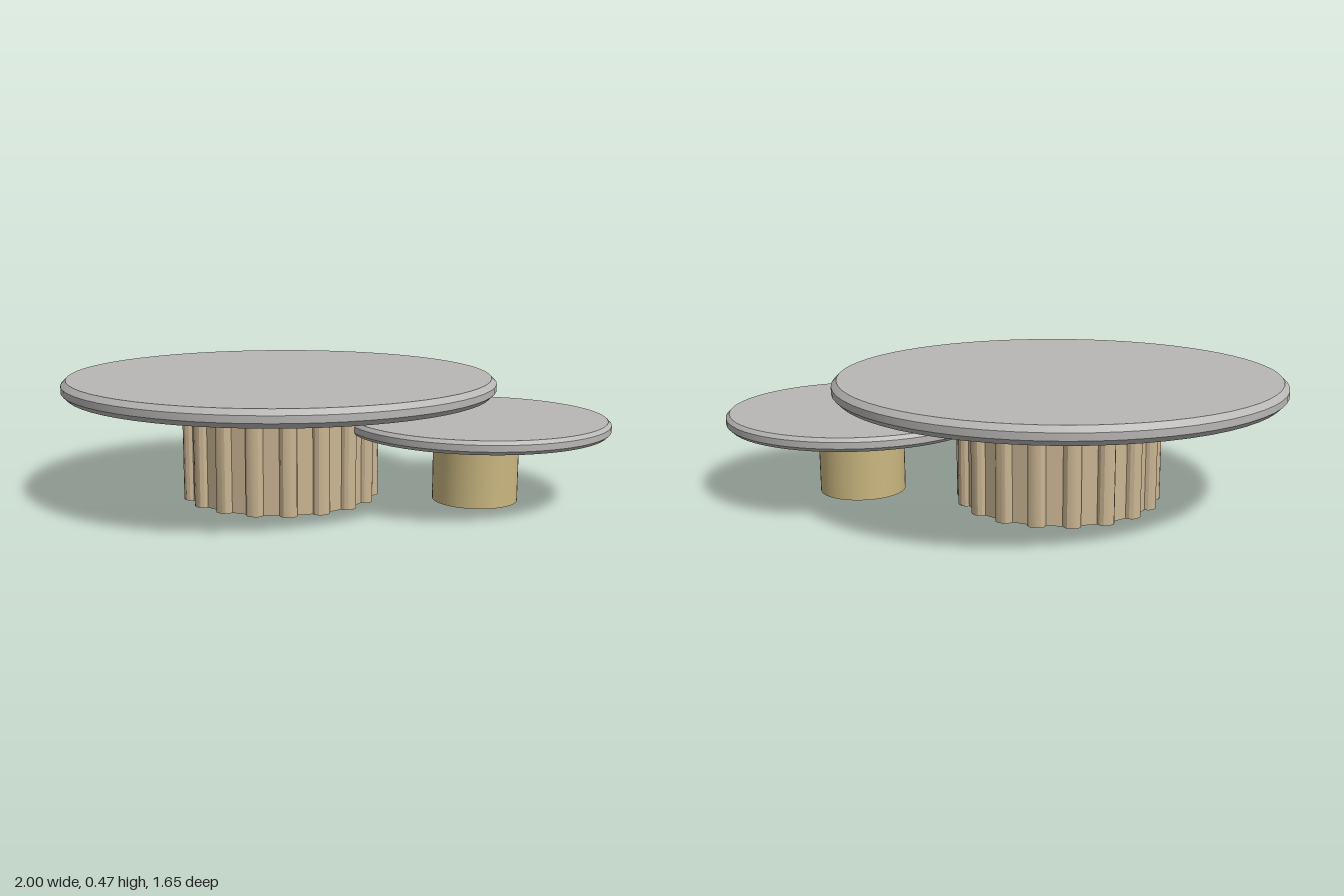
import * as THREE from 'three';
import { toCreasedNormals } from 'three/addons/utils/BufferGeometryUtils.js';

const greyTop = new THREE.MeshStandardMaterial({ name: 'grey top', color: 0xb8b7b5 });
const flutedWood = new THREE.MeshStandardMaterial({ name: 'fluted wood', color: 0xcbb693 });
const paleWood = new THREE.MeshStandardMaterial({ name: 'pale wood', color: 0xcab780 });

function part(name, geometry, material) {
  const mesh = new THREE.Mesh(toCreasedNormals(geometry, 0.5), material);
  mesh.name = name;
  return mesh;
}

// Round slab with chamfered upper and lower rims
function slab(name, radius, bottom, top, bevel) {
  const profile = [
    [0, bottom], [radius - bevel, bottom], [radius, bottom + bevel],
    [radius, top - bevel], [radius - bevel, top], [0, top],
  ].map(([x, y]) => new THREE.Vector2(x, y));
  return part(name, new THREE.LatheGeometry(profile, 64), greyTop);
}

// Column with rounded ribs; one rib faces straight forward
function flutedColumn(name, ribs, height) {
  const rib = [
    [-0.092, 0.352], [-0.082, 0.366], [-0.055, 0.377], [-0.02, 0.381],
    [0.02, 0.381], [0.055, 0.377], [0.082, 0.366], [0.092, 0.352],
  ];
  const outline = [];
  for (let i = 0; i < ribs; i++) {
    const centre = Math.PI / 2 + (i * 2 * Math.PI) / ribs;
    for (const [offset, r] of rib) {
      const a = centre + offset;
      outline.push(new THREE.Vector2(Math.cos(a) * r, Math.sin(a) * r));
    }
  }
  const geometry = new THREE.ExtrudeGeometry(new THREE.Shape(outline), { depth: height, bevelEnabled: false });
  geometry.rotateX(-Math.PI / 2);
  return part(name, geometry, flutedWood);
}

export function createModel() {
  const model = new THREE.Group();
  model.name = 'nestingTables';

  // Large table on a fluted base
  const large = new THREE.Group();
  large.name = 'largeTable';
  large.position.set(-0.174, 0, 0);
  large.add(slab('largeTop', 0.826, 0.407, 0.47, 0.019), flutedColumn('flutedBase', 18, 0.408));

  // Small table on a plain base, tucked under the back left
  const small = new THREE.Group();
  small.name = 'smallTable';
  small.position.set(0.504, 0, -0.332);
  const base = part('roundBase', new THREE.CylinderGeometry(0.162, 0.162, 0.274, 48), paleWood);
  base.position.y = 0.137;
  small.add(slab('smallTop', 0.496, 0.273, 0.322, 0.013), base);

  model.add(large, small);
  return model;
}
